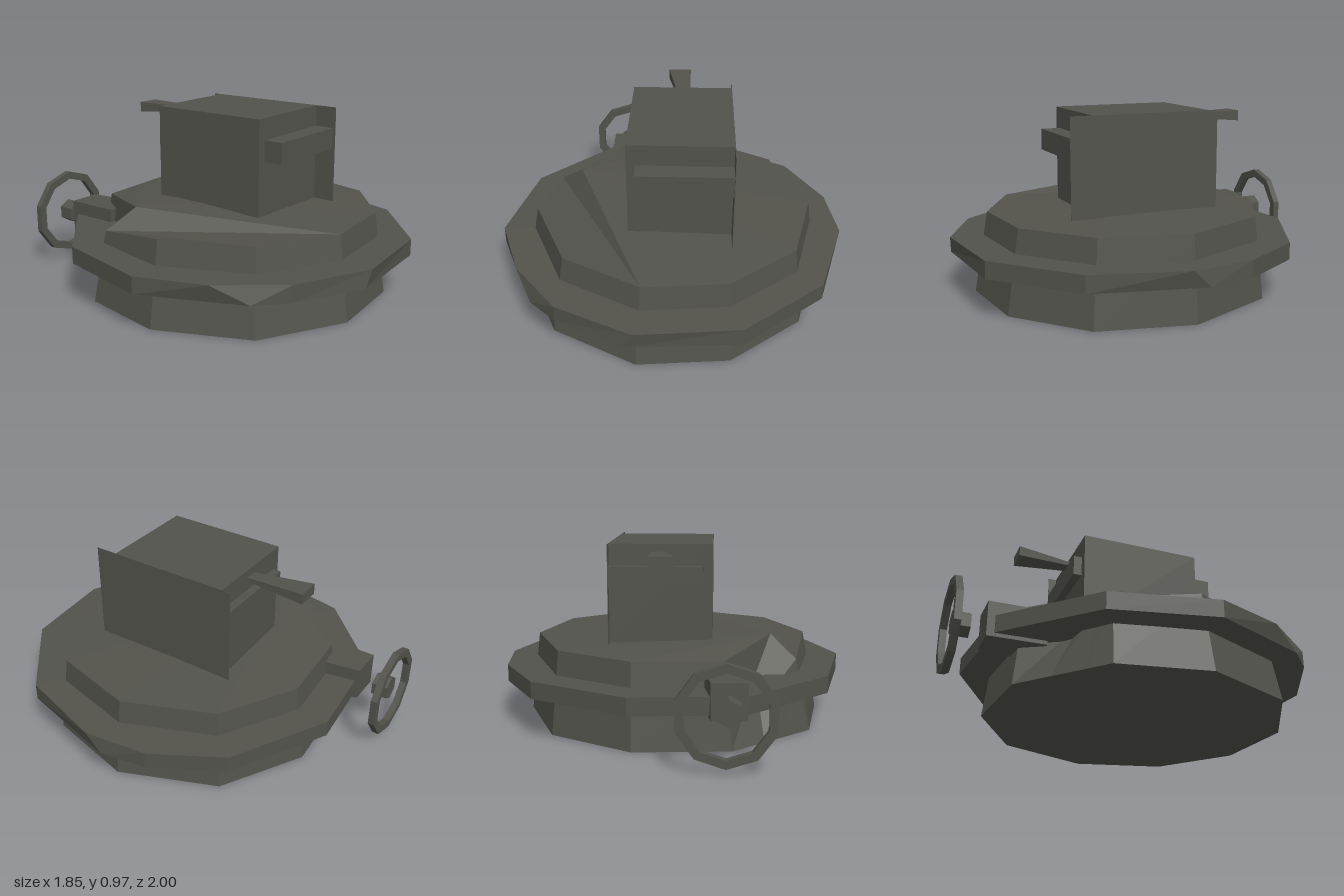
import * as THREE from 'three';

const olive = new THREE.MeshStandardMaterial({ color: 0x53534c, flatShading: true, side: THREE.DoubleSide });
olive.name = 'dark olive';

// Mesh from a list of triangles, each made of three [x, y, z] points
function fromTriangles(name, tris) {
  const g = new THREE.BufferGeometry();
  g.setAttribute('position', new THREE.Float32BufferAttribute(tris.flat(2), 3));
  g.computeVertexNormals();
  return named(name, g);
}

function named(name, geometry, x = 0, y = 0, z = 0) {
  const m = new THREE.Mesh(geometry, olive);
  m.name = name;
  m.position.set(x, y, z);
  return m;
}

// Side walls between two matching loops
function walls(low, high) {
  return low.flatMap((p, i) => {
    const j = (i + 1) % low.length;
    return [[p, low[j], high[j]], [p, high[j], high[i]]];
  });
}

// Triangles from an apex to a run of points
function fan(apex, pts, closed, flip) {
  const run = closed ? [...pts, pts[0]] : pts;
  return run.slice(1).map((p, i) => (flip ? [apex, p, run[i]] : [apex, run[i], p]));
}

// Box given by its limits
function block(name, x0, x1, y0, y1, z0, z1) {
  return named(name, new THREE.BoxGeometry(x1 - x0, y1 - y0, z1 - z0),
    (x0 + x1) / 2, (y0 + y1) / 2, (z0 + z1) / 2);
}

export function createModel() {
  const model = new THREE.Group();
  model.name = 'turret';

  // Tapered ten-sided body with one dented, raised corner
  const rim = [[0.755, 0.03], [0.565, -0.43], [0.17, -0.655], [-0.28, -0.62], [-0.655, -0.29],
    [-0.73, 0.14], [-0.535, 0.58], [-0.13, 0.8], [0.305, 0.76], [0.645, 0.48]];
  const top = rim.map(([x, z], i) => [x, i === 4 ? 0.375 : 0.437, z]);
  const base = rim.map(([x, z]) => [(x - 0.015) * 1.09, 0, 0.08 + (z - 0.073) * 1.086]);
  const mix = (a, b, t) => a.map((v, k) => v + (b[k] - v) * t);
  top.splice(4, 0, [-0.44, 0.31, -0.38], [-0.59, 0.31, -0.36]);
  base.splice(4, 0, mix(base[3], base[4], 0.4), mix(base[3], base[4], 0.75));
  const peak = [-0.525, 0.49, -0.195];
  model.add(fromTriangles('body', [
    ...walls(base, top),
    ...fan([0, 0, 0.08], base, true, true),
    ...fan(peak, [...top.slice(9), ...top.slice(0, 7)], false),
    ...fan(top[6], top.slice(7, 10), false),
    [peak, top[6], top[9]],
  ]));

  // Uneven flange around the body
  const upper = [[0.925, 0.12], [0.88, -0.22], [0.68, -0.57], [0.175, -0.84], [-0.2, -0.805],
    [-0.395, -0.785], [-0.81, -0.38], [-0.925, 0.15], [-0.795, 0.505], [-0.555, 0.805],
    [-0.16, 0.995], [0.365, 0.945], [0.78, 0.595]].map(([x, z]) => [x, 0.31, z]);
  const lower = upper.map(([x, , z]) => [x, 0.22, z]);
  lower[0] = [0.925, 0.22, 0.03];
  lower[8] = [-0.7, 0.22, 0.67];
  lower[10] = [-0.2, 0.22, 0.985];
  model.add(fromTriangles('flange', [
    ...walls(lower, upper),
    ...fan([0, 0.31, 0.08], upper, true),
    ...fan([0, 0.22, 0.08], lower, true, true),
  ]));

  // Cabin, side panel and the band passing through it
  model.add(block('cabin', -0.22, 0.318, 0.43, 0.97, -0.29, 0.37));
  model.add(block('sidePanel', 0.318, 0.321, 0.45, 0.97, -0.335, 0.49));
  model.add(block('band', -0.172, 0.319, 0.745, 0.857, -0.335, 0.475));

  // Lever flaring towards the back
  const section = (x0, x1, y0, y1, z) => [[x0, y0, z], [x1, y0, z], [x1, y1, z], [x0, y1, z]];
  const root = section(0.025, 0.09, 0.91, 0.93, -0.28);
  const tip = section(-0.035, 0.09, 0.88, 0.937, -0.605);
  model.add(fromTriangles('lever', [
    ...walls(tip, root),
    ...fan(root[0], root.slice(1), false),
    ...fan(tip[0], tip.slice(1), false, true),
  ]));

  // Rear bracket, slightly wider at its inner end
  const bracketEnd = section(-0.39, -0.215, 0.2, 0.383, -0.825);
  const bracketRoot = section(-0.39, -0.165, 0.2, 0.383, -0.525);
  model.add(fromTriangles('bracket', [
    ...walls(bracketEnd, bracketRoot),
    ...fan(bracketRoot[0], bracketRoot.slice(1), false),
    ...fan(bracketEnd[0], bracketEnd.slice(1), false, true),
  ]));

  // Hand wheel: ten-sided flat ring with a six-sided hub
  const polygon = (r) => Array.from({ length: 10 }, (_, i) => {
    const a = (i / 10) * Math.PI * 2 + Math.PI / 2;
    return new THREE.Vector2(r * Math.cos(a), r * Math.sin(a));
  });
  const outline = new THREE.Shape(polygon(0.243));
  outline.holes.push(new THREE.Path(polygon(0.2)));
  model.add(named('wheelRim',
    new THREE.ExtrudeGeometry(outline, { depth: 0.035, bevelEnabled: false }), -0.287, 0.272, -1));
  const hub = new THREE.CylinderGeometry(0.066, 0.066, 0.085, 6).rotateX(Math.PI / 2);
  model.add(named('wheelHub', hub, -0.298, 0.28, -0.935));

  return model;
}
